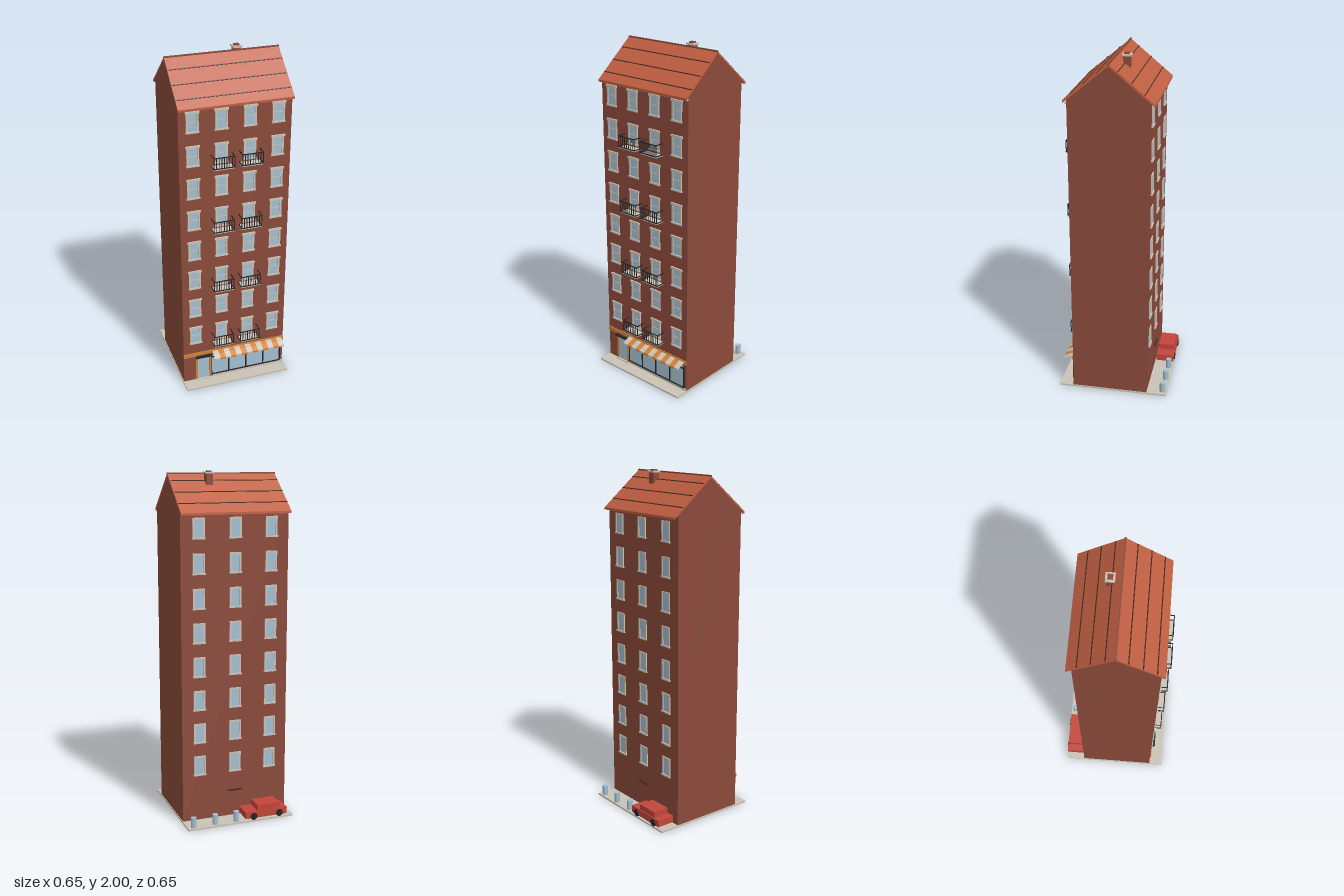
import * as THREE from 'three';

const mat = (name, color) => {
  const m = new THREE.MeshStandardMaterial({ color });
  m.name = name;
  return m;
};

export function createModel() {
  const brick = mat('brick', 0x8b4a3b), tile = mat('roof tile', 0xbf5f41), seam = mat('dark seam', 0x4a2a20);
  const stone = mat('pale stone', 0xcac2b5), glass = mat('glass', 0xa3bfd2), iron = mat('black iron', 0x222426);
  const orange = mat('orange paint', 0xcf8038), red = mat('red paint', 0xc2453a);

  const model = new THREE.Group();
  model.name = 'townhouse';
  const group = (name, x = 0, y = 0, z = 0, parent = model) => {
    const g = new THREE.Group();
    g.name = name;
    g.position.set(x, y, z);
    parent.add(g);
    return g;
  };
  const add = (name, geo, m, x = 0, y = 0, z = 0, parent = model) => {
    const mesh = new THREE.Mesh(geo, m);
    mesh.name = name;
    mesh.position.set(x, y, z);
    parent.add(mesh);
    return mesh;
  };
  // Box given by its low and high corners
  const box = (name, m, [x0, x1], [y0, y1], [z0, z1], parent = model) =>
    add(name, new THREE.BoxGeometry(x1 - x0, y1 - y0, z1 - z0), m, (x0 + x1) / 2, (y0 + y1) / 2, (z0 + z1) / 2, parent);
  // Side profile of (z, y) points swept along x
  const sweep = (name, m, points, x0, x1, parent = model) => {
    const shape = new THREE.Shape(points.map(p => new THREE.Vector2(...p)));
    const geo = new THREE.ExtrudeGeometry(shape, { depth: x1 - x0, bevelEnabled: false });
    geo.rotateY(-Math.PI / 2);
    return add(name, geo, m, x1, 0, 0, parent);
  };

  const FRONT = 0.24, BACK = -0.205, RIDGE_Z = 0.013, RIDGE_Y = 1.985, SLOPE = 0.825;
  const roofY = z => RIDGE_Y - SLOPE * Math.abs(z - RIDGE_Z);

  // Pavement and walls
  box('pavement', stone, [-0.323, 0.323], [0, 0.01], [-0.323, 0.323]);
  sweep('walls', brick, [[BACK, 0.01], [FRONT, 0.01], [FRONT, roofY(FRONT) - 0.01],
    [RIDGE_Z, RIDGE_Y - 0.01], [BACK, roofY(BACK) - 0.01]], -0.319, 0.319);

  // Pitched roof with seams, ridge and cornice
  const roof = group('roof');
  const eaveF = 0.262, eaveB = -0.235, t = 0.013;
  sweep('roofSlopes', tile, [[eaveF, roofY(eaveF) - t], [eaveF, roofY(eaveF)], [RIDGE_Z, RIDGE_Y],
    [eaveB, roofY(eaveB)], [eaveB, roofY(eaveB) - t], [RIDGE_Z, RIDGE_Y - t]], -0.323, 0.323, roof);
  for (const z of [-0.178, -0.108, -0.036, 0.076, 0.148, 0.218]) {
    const s = add('roofSeam', new THREE.BoxGeometry(0.642, 0.004, 0.005), seam, 0, roofY(z) + 0.001, z, roof);
    s.rotation.x = Math.sign(z - RIDGE_Z) * Math.atan(SLOPE);
  }
  box('ridgeCap', brick, [-0.325, 0.325], [1.977, 1.988], [0.008, 0.018], roof);
  box('cornice', stone, [-0.319, 0.319], [1.762, 1.773], [FRONT, 0.25], roof);

  // Chimney
  const chimney = group('chimney', 0.1, 0, -0.045);
  box('chimneyShaft', brick, [-0.02, 0.02], [1.89, 1.983], [-0.02, 0.02], chimney);
  box('chimneyCap', stone, [-0.026, 0.026], [1.983, 1.993], [-0.025, 0.025], chimney);
  box('chimneyPot', brick, [-0.014, 0.014], [1.993, 2], [-0.014, 0.014], chimney);

  // Window, origin at the top middle of the opening on the wall face
  const windowUnit = (x, y, z, ornate) => {
    const g = group('window', x, y, z);
    if (!ornate) g.rotation.y = Math.PI;
    box('windowGlass', glass, [-0.029, 0.029], [-0.112, -0.01], [0, 0.002], g);
    for (const s of [-1, 1]) box('windowJamb', stone, [s * 0.03 - 0.005, s * 0.03 + 0.005], [-0.115, -0.004], [0, 0.006], g);
    box('windowHead', stone, [-0.035, 0.035], [-0.014, -0.004], [0, 0.006], g);
    box('windowSill', stone, [-0.038, 0.038], [-0.121, -0.112], [0, 0.01], g);
    if (ornate) {
      box('windowBar', stone, [-0.025, 0.025], [-0.062, -0.057], [0, 0.005], g);
      box('windowLintel', stone, [-0.04, 0.04], [-0.012, 0], [0, 0.009], g);
    }
  };

  // Balcony, origin at the middle of the floor on the wall face
  const balcony = (x, y) => {
    const g = group('balcony', x, y, FRONT);
    box('balconyFloor', stone, [-0.06, 0.06], [-0.004, 0.002], [0, 0.056], g);
    for (const h of [0.004, 0.067]) {
      box('frontRail', iron, [-0.061, 0.061], [h - 0.0025, h + 0.0025], [0.053, 0.057], g);
      for (const s of [-0.059, 0.059]) box('sideRail', iron, [s - 0.002, s + 0.002], [h - 0.0025, h + 0.0025], [0, 0.055], g);
    }
    for (let i = 0; i < 9; i++) {
      const bx = -0.059 + i * 0.01475;
      box('baluster', iron, [bx - 0.002, bx + 0.002], [0.002, 0.067], [0.054, 0.056], g);
    }
  };

  // Eight storeys of windows, balconies on every other one
  for (let i = 0; i < 8; i++) {
    const top = 0.402 + i * 0.1936;
    for (const x of [-0.242, -0.081, 0.081, 0.242]) windowUnit(x, top, FRONT, true);
    for (const x of [-0.215, 0, 0.215]) windowUnit(x, top, BACK, false);
    if (i % 2 === 0) for (const x of [-0.082, 0.081]) balcony(x, top - 0.134);
  }

  // Shop front
  const shop = group('shopFront');
  box('signBoard', orange, [-0.319, 0.319], [0.185, 0.21], [FRONT, 0.247], shop);
  box('plinth', stone, [-0.14, 0.319], [0.01, 0.024], [FRONT, 0.246], shop);
  box('shopGlass', glass, [-0.145, 0.3], [0.03, 0.17], [FRONT, 0.242], shop);
  for (let i = 0; i < 5; i++) {
    const x = -0.146 + i * 0.1115;
    box('shopMullion', iron, [x - 0.004, x + 0.004], [0.024, 0.17], [FRONT, 0.246], shop);
  }
  for (const y of [0.024, 0.153]) box('shopRail', iron, [-0.148, 0.302], [y, y + 0.007], [FRONT, 0.246], shop);

  // Street door with canopy
  const door = group('door', -0.197);
  box('doorGlass', glass, [-0.038, 0.038], [0.014, 0.17], [FRONT, 0.242], door);
  for (const s of [-0.043, 0.043]) box('doorPost', orange, [s - 0.006, s + 0.006], [0.01, 0.178], [FRONT, 0.248], door);
  box('doorHead', orange, [-0.043, 0.043], [0.165, 0.178], [FRONT, 0.248], door);
  box('doorstep', stone, [-0.052, 0.052], [0.01, 0.015], [FRONT, 0.255], door);
  box('doorCanopy', iron, [-0.049, 0.052], [0.179, 0.188], [FRONT, 0.266], door);

  // Striped awning
  const awning = group('awning'), w = 0.445 / 13;
  for (let i = 0; i < 13; i++) {
    const x = -0.14 + i * w;
    sweep('awningStripe', i % 2 ? orange : stone, [[0.24, 0.2], [0.24, 0.206], [0.272, 0.195], [0.3, 0.181],
      [0.3, 0.169], [0.297, 0.169], [0.297, 0.177], [0.27, 0.191]], x, x + w, awning);
  }

  // Small rear canopy
  box('rearCanopy', seam, [-0.042, 0.042], [0.163, 0.169], [BACK - 0.012, BACK]);

  // Parked car
  const car = group('car');
  box('carBody', red, [-0.285, -0.027], [0.02, 0.06], [-0.32, -0.212], car);
  box('carCabin', red, [-0.24, -0.1], [0.06, 0.094], [-0.314, -0.217], car);
  for (const x of [-0.237, -0.076]) for (const z of [-0.317, -0.215]) {
    const wheel = add('wheel', new THREE.CylinderGeometry(0.021, 0.021, 0.014, 12), iron, x, 0.031, z, car);
    wheel.rotation.x = Math.PI / 2;
  }

  // Row of bins
  for (const x of [0.025, 0.155, 0.285])
    add('bin', new THREE.CylinderGeometry(0.017, 0.017, 0.06, 8).toNonIndexed(), glass, x, 0.04, -0.298);

  return model;
}
